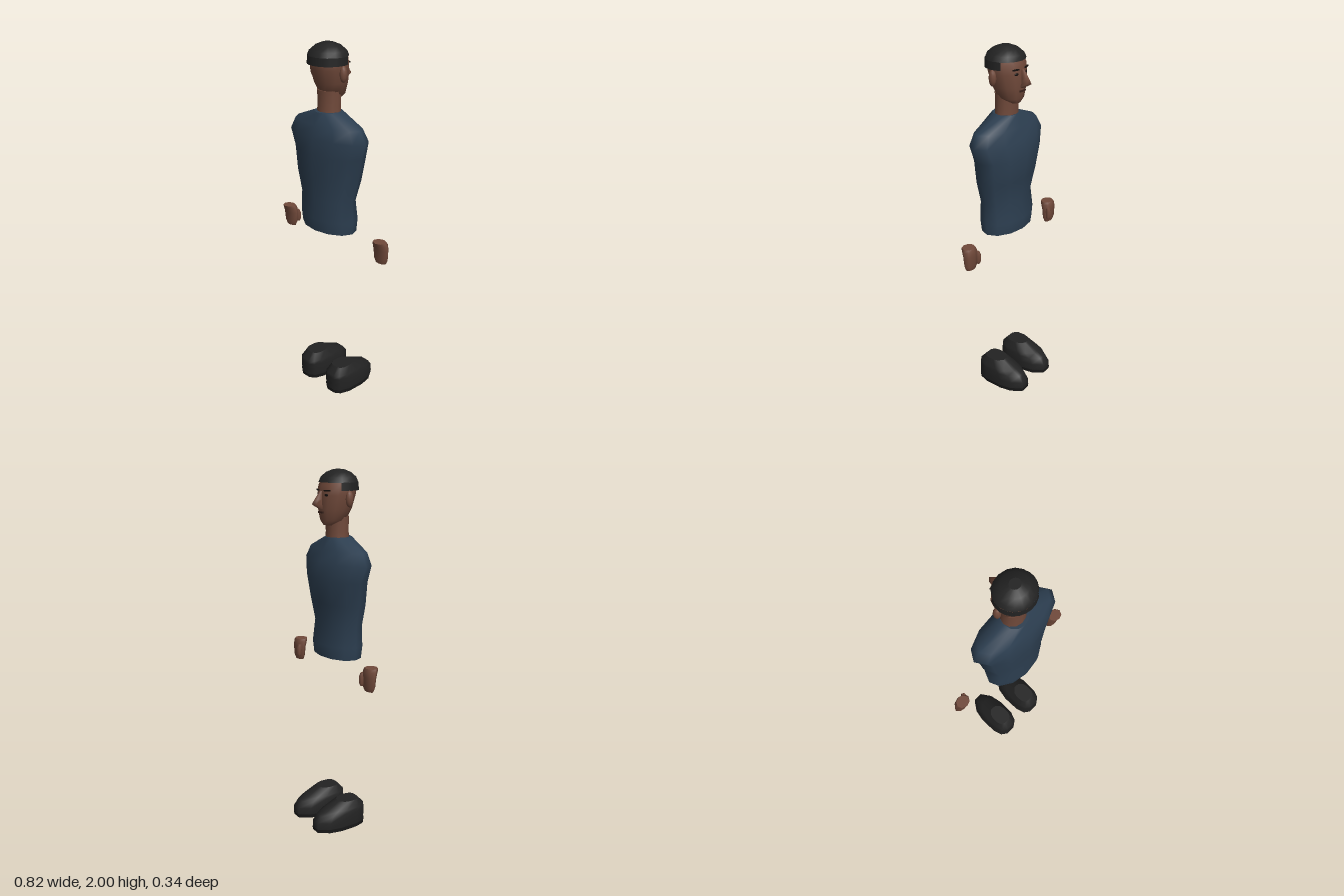
import * as THREE from 'three';

const mat = (name, color, side = THREE.FrontSide) => {
  const m = new THREE.MeshStandardMaterial({ color, side });
  m.name = name;
  return m;
};

// Outline of n points, clockwise from above, starting at the face side (-z)
const oval = (n) => Array.from({ length: n }, (_, i) => {
  const a = (i / n) * Math.PI * 2;
  return [Math.sin(a), -Math.cos(a)];
});

// Skin an outline through rings [y, halfWidth, zBack, zFront], bottom to top, with flat caps
function loft(outline, rings, cx = 0) {
  const n = outline.length, pos = [], idx = [];
  const addRing = ([y, w, zb, zf]) => outline.forEach(([u, v]) =>
    pos.push(cx + u * w, y, (zb + zf) / 2 + (v * (zb - zf)) / 2));
  rings.forEach(addRing);
  for (let r = 0; r < rings.length - 1; r++) {
    for (let i = 0; i < n; i++) {
      const j = (i + 1) % n, a = r * n, b = a + n;
      idx.push(a + i, b + i, a + j, b + i, b + j, a + j);
    }
  }
  [rings[0], rings[rings.length - 1]].forEach((ring, top) => {
    const s = pos.length / 3;
    addRing(ring);
    for (let i = 1; i < n - 1; i++) {
      if (top) idx.push(s, s + i + 1, s + i);
      else idx.push(s, s + i, s + i + 1);
    }
  });
  const g = new THREE.BufferGeometry();
  g.setAttribute('position', new THREE.Float32BufferAttribute(pos, 3));
  g.setIndex(idx);
  g.computeVertexNormals();
  return g;
}

export function createModel() {
  const model = new THREE.Group();
  model.name = 'figure';
  const skin = mat('skin', 0x70493a);
  const shirt = mat('shirt', 0x2c3e50);
  const hair = mat('hair', 0x222222, THREE.DoubleSide);
  const shoe = mat('shoe', 0x222222);
  const sole = mat('sole', 0x1a1a1a);
  const eyeDark = mat('eyeDark', 0x15100e);
  const lips = mat('lips', 0x3a231c);

  const add = (name, geometry, material, parent = model) => {
    const m = new THREE.Mesh(geometry, material);
    m.name = name;
    parent.add(m);
    return m;
  };

  // Torso
  add('torso', loft(oval(12), [
    [1.0, 0.18, 0.155, -0.062], [1.07, 0.186, 0.165, -0.07], [1.18, 0.18, 0.157, -0.052],
    [1.3, 0.215, 0.165, -0.07], [1.43, 0.235, 0.17, -0.09], [1.52, 0.272, 0.165, -0.068],
    [1.585, 0.235, 0.148, -0.045], [1.65, 0.07, 0.125, -0.022],
  ]), shirt);

  // Neck and head
  add('neck', loft(oval(12), [
    [1.62, 0.07, 0.107, -0.015], [1.68, 0.066, 0.105, -0.014], [1.76, 0.068, 0.105, -0.016],
  ]), skin);
  const head = new THREE.Group();
  head.name = 'head';
  model.add(head);
  add('skull', loft(oval(12), [
    [1.714, 0.03, 0.02, -0.035], [1.74, 0.067, 0.09, -0.05], [1.8, 0.09, 0.12, -0.059],
    [1.87, 0.106, 0.14, -0.058], [1.92, 0.107, 0.145, -0.052], [1.96, 0.09, 0.13, -0.03],
  ]), skin, head);
  add('nose', loft(oval(6), [
    [1.8, 0.017, -0.045, -0.068], [1.825, 0.02, -0.045, -0.112],
    [1.85, 0.014, -0.045, -0.095], [1.892, 0.009, -0.045, -0.063],
  ]), skin, head);
  add('mouth', new THREE.BoxGeometry(0.044, 0.009, 0.008), lips, head).position.set(0, 1.782, -0.056);

  // Hair: crown plus a lower band around the sides and back
  add('hairCrown', loft(oval(16), [
    [1.935, 0.109, 0.157, -0.053], [1.96, 0.098, 0.147, -0.043],
    [1.985, 0.068, 0.118, -0.014], [2.0, 0.03, 0.08, 0.025],
  ]), hair, head);
  const arc = THREE.MathUtils.degToRad(116);
  const band = add('hairBand',
    new THREE.CylinderGeometry(0.109, 0.111, 0.042, 14, 1, true, -arc, arc * 2), hair, head);
  band.position.set(0, 1.915, 0.053);
  band.scale.z = 0.95;

  const footprint = [
    [0, -1], [0.34, -1], [0.83, -0.62], [1, -0.17], [0.97, 0.5], [0.75, 0.85], [0.35, 1],
    [-0.35, 1], [-0.75, 0.85], [-0.97, 0.5], [-1, -0.17], [-0.83, -0.62], [-0.34, -1],
  ];

  for (const s of [1, -1]) {
    const side = s > 0 ? 'left' : 'right';

    // Ears, eyes and brows
    const ear = add(side + 'Ear', new THREE.SphereGeometry(1, 10, 8), skin, head);
    ear.position.set(s * 0.11, 1.853, 0.05);
    ear.scale.set(0.019, 0.043, 0.021);
    const eye = add(side + 'Eye', new THREE.SphereGeometry(1, 10, 6), eyeDark, head);
    eye.position.set(s * 0.04, 1.872, -0.0475);
    eye.scale.set(0.013, 0.007, 0.004);
    eye.rotation.y = -s * 0.25;
    const brow = add(side + 'Brow', new THREE.BoxGeometry(0.038, 0.007, 0.008), eyeDark, head);
    brow.position.set(s * 0.044, 1.895, -0.046);
    brow.rotation.y = -s * 0.3;

    // Hands
    add(side + 'Hand', loft(oval(8), [
      [0.885, 0.034, 0.03, -0.004], [0.91, 0.048, 0.035, -0.01], [0.965, 0.05, 0.042, -0.014],
      [0.995, 0.046, 0.054, -0.014], [1.01, 0.039, 0.06, -0.008],
    ], s * 0.361), skin);
    add(side + 'Thumb', loft(oval(6), [
      [0.91, 0.009, 0, -0.018], [0.925, 0.015, 0.006, -0.026],
      [0.96, 0.015, 0.008, -0.026], [0.98, 0.01, 0.006, -0.016],
    ], s * 0.326), skin);

    // Shoes
    add(side + 'Sole', loft(footprint, [
      [0, 0.08, 0.142, -0.165], [0.022, 0.083, 0.145, -0.169],
    ], s * 0.108), sole);
    add(side + 'Shoe', loft(footprint, [
      [0.022, 0.081, 0.143, -0.167], [0.06, 0.082, 0.145, -0.166], [0.095, 0.077, 0.145, -0.14],
      [0.115, 0.072, 0.143, -0.098], [0.155, 0.05, 0.108, -0.018],
    ], s * 0.108), shoe);
  }

  return model;
}
